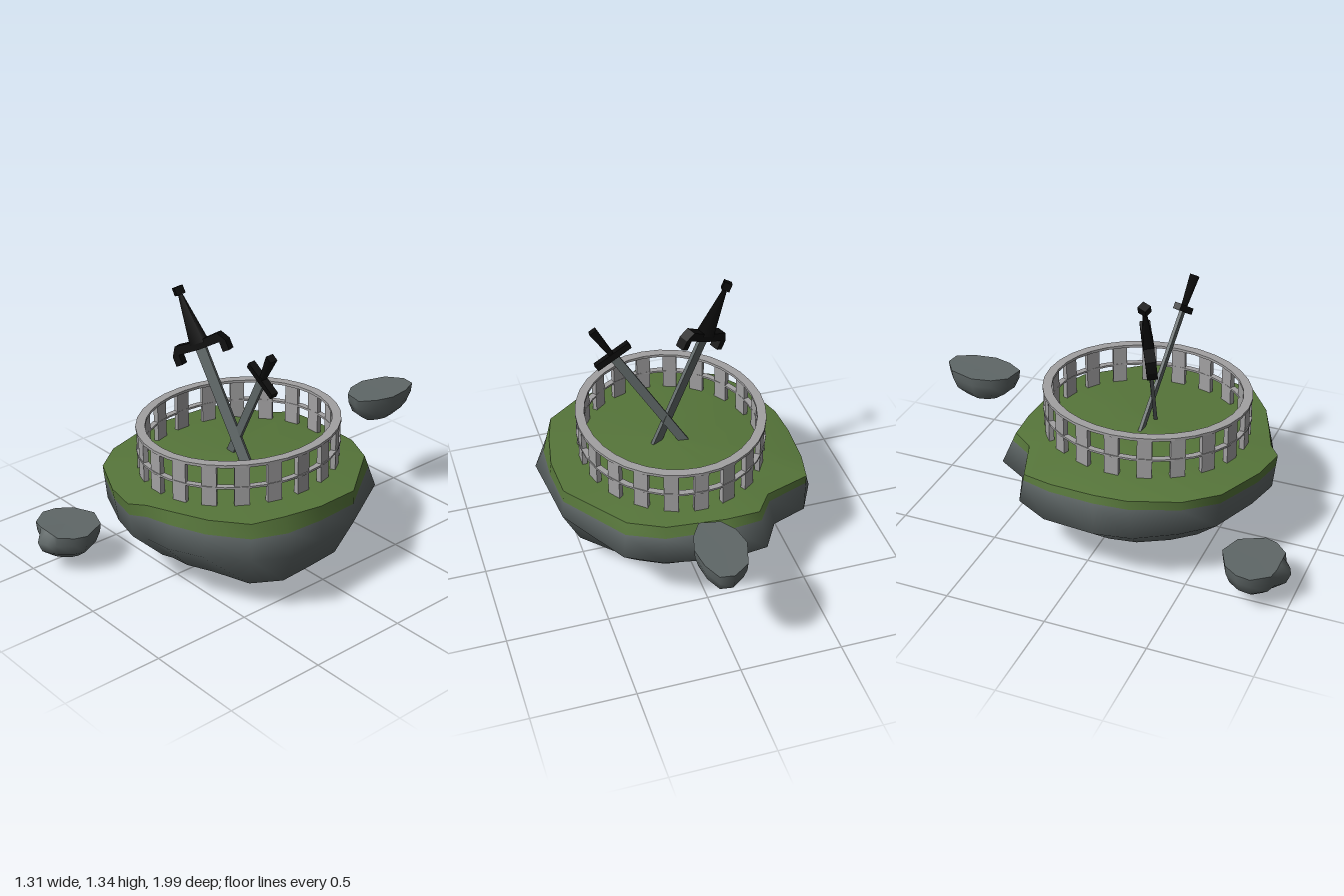
import * as THREE from 'three';

const mat = (name, color) => new THREE.MeshStandardMaterial({ name, color });
const V = (x, y, z) => new THREE.Vector3(x, y, z);

// Skin a stack of equal-length closed rings, listed from top to bottom
function loft(rings) {
  const n = rings[0].length, pos = [], index = [];
  rings.forEach(r => r.forEach(p => pos.push(p.x, p.y, p.z)));
  for (let k = 0; k < rings.length - 1; k++) {
    for (let i = 0; i < n; i++) {
      const j = (i + 1) % n, a = k * n + i, b = k * n + j;
      index.push(a, b, a + n, b, b + n, a + n);
    }
  }
  const g = new THREE.BufferGeometry();
  g.setAttribute('position', new THREE.Float32BufferAttribute(pos, 3));
  g.setIndex(index);
  g.computeVertexNormals();
  return g;
}

function add(parent, name, geo, material) {
  const m = new THREE.Mesh(geo, material);
  m.name = name;
  parent.add(m);
  return m;
}

// Rim outline: top x, z and widest x, z
const RIM = [
  [-.26, -.48, -.28, -.55], [-.09, -.49, -.09, -.58], [.2, -.47, .23, -.53], [.37, -.39, .4, -.44],
  [.6, -.09, .61, -.08], [.61, .13, .63, .14], [.575, .32, .65, .34], [.53, .48, .55, .5],
  [.37, .6, .37, .64], [.2, .67, .2, .71], [.07, .72, .07, .72], [0, .775, 0, .755],
  [-.17, .74, -.17, .71], [-.4, .63, -.4, .61], [-.52, .48, -.52, .47], [-.6, .24, -.63, .28],
  [-.61, .08, -.66, .1], [-.6, -.14, -.64, -.16], [-.57, -.29, -.55, -.33], [-.34, -.37, -.37, -.4],
];
const ROCK_A = [[-.56, .71], [-.45, .66], [-.34, .7], [-.28, .82], [-.3, .88], [-.36, .95],
  [-.4, .98], [-.45, 1], [-.5, .95], [-.56, .93], [-.62, .85], [-.61, .78]];
const ROCK_B = [[.04, -1], [.11, -.99], [.15, -.9], [.165, -.79], [.14, -.7], [.09, -.62],
  [.05, -.63], [-.01, -.64], [-.06, -.71], [-.08, -.81], [-.04, -.94]];

function island(grass, rock) {
  const g = new THREE.Group();
  g.name = 'island';
  const top = RIM.map(([x, z]) => V(x, .483 + .025 * x + .01 * z, z));
  const wide = RIM.map(([, , x, z]) => V(x, .31 + .03 * x, z));
  const line = top.map((p, i) => {
    const q = p.clone().lerp(wide[i], (p.y - .43) / (p.y - wide[i].y));
    return q;
  });
  const base = wide.map(p => {
    const a = Math.atan2(p.z - .1, p.x);
    return V(.01 + .265 * Math.cos(a), .01, .11 + .265 * Math.sin(a));
  });
  // bulge on the left flank
  const mid = base.map((p, i) => {
    const q = p.clone().lerp(wide[i], wide[i].x > .5 ? .75 : .56);
    q.y = .145;
    return q;
  });
  const inner = top.map(p => V(p.x * .65, .508, .1 + (p.z - .1) * .65));
  add(g, 'grassTop', loft([top.map(() => V(0, .52, .12)), inner, top]), grass);
  const sides = loft([top, line, wide, mid, base]);
  const layer = top.length * 6;
  sides.addGroup(0, layer, 0);
  sides.addGroup(layer, layer * 3, 1);
  add(g, 'islandSides', sides, [grass, rock]);
  add(g, 'islandBase', loft([base, base.map(() => V(.01, 0, .11))]), rock);
  return g;
}

// Floating boulder: flat top over a rounded bowl
function boulder(name, outline, cx, cz, y, maxZ, rock) {
  const g = new THREE.Group();
  g.name = name;
  const ring = (s, h, limit = 9) => outline.map(([x, z]) =>
    V(cx + (x - cx) * s, y + h, cz + (Math.min(z, limit) - cz) * s));
  const top = ring(1, .16, maxZ);
  add(g, name + 'Top', loft([ring(0, .158), top]), rock);
  add(g, name + 'Bowl', loft([top, ring(.97, .115), ring(.84, .06), ring(.5, .015), ring(0, 0)]), rock);
  return g;
}

// Oval fence of upright slats joined by two rails
function fence(material) {
  const g = new THREE.Group();
  g.name = 'fence';
  const cx = .005, cz = .105, rx = .465, rz = .515;
  const rail = (name, w, h, y) => {
    const s = new THREE.Shape().absellipse(0, 0, rx, rz, 0, Math.PI * 2);
    s.holes.push(new THREE.Path().absellipse(0, 0, rx - w, rz - w, 0, Math.PI * 2));
    const geo = new THREE.ExtrudeGeometry(s, { depth: h, bevelEnabled: false, curveSegments: 16 });
    geo.rotateX(-Math.PI / 2).translate(cx, y, cz);
    add(g, name, geo, material);
  };
  rail('topRail', .045, .014, .702);
  rail('middleRail', .03, .01, .593);
  for (let i = 0; i < 20; i++) {
    const a = i * Math.PI / 10, s = Math.sin(a), c = Math.cos(a);
    const slat = add(g, 'slat', new THREE.BoxGeometry(.07, .22, .025), material);
    slat.position.set(cx + (rx - .018) * s, .596, cz + (rz - .018) * c);
    slat.rotation.y = Math.atan2(s / rx, c / rz);
  }
  return g;
}

// Group whose origin is the blade tip, y runs to the pommel, x along the guard
function swordFrame(name, tip, end, across) {
  const g = new THREE.Group();
  g.name = name;
  const up = end.clone().sub(tip).normalize();
  const x = across.clone().addScaledVector(up, -across.dot(up)).normalize();
  g.quaternion.setFromRotationMatrix(new THREE.Matrix4().makeBasis(x, up, x.clone().cross(up)));
  g.position.copy(tip);
  return g;
}

const box = (w, h, d, x, y) => new THREE.BoxGeometry(w, h, d).translate(x, y, 0);

function largeSword(steel, dark) {
  const g = swordFrame('largeSword', V(.08, .5, .12), V(-.31, 1.31, .21), V(.2, .11, -.11));
  add(g, 'blade', box(.055, .63, .018, 0, .315), steel);
  // guard with hooked ends pointing down the blade
  const s = new THREE.Shape([[-.15, .56], [-.115, .56], [-.115, .61], [0, .605], [.115, .61],
    [.115, .56], [.15, .56], [.15, .61], [.12, .655], [0, .645], [-.12, .655], [-.15, .61]]
    .map(p => new THREE.Vector2(...p)));
  const geo = new THREE.ExtrudeGeometry(s, { depth: .05, bevelEnabled: false });
  add(g, 'guard', geo.translate(0, 0, -.025), dark);
  const grip = new THREE.CylinderGeometry(.012, .055, .25, 4).rotateY(Math.PI / 4).scale(1, 1, .7);
  add(g, 'grip', grip.translate(0, .76, 0).toNonIndexed(), dark);
  const pommel = add(g, 'pommel', new THREE.BoxGeometry(.045, .04, .04), dark);
  pommel.position.y = .9;
  pommel.rotation.y = Math.PI / 4;
  return g;
}

function smallSword(steel, dark) {
  const g = swordFrame('smallSword', V(-.07, .5, .1), V(.355, 1.175, .21), V(.155, -.12, 0));
  add(g, 'blade', box(.045, .64, .016, 0, .32), steel);
  add(g, 'guard', box(.195, .032, .035, 0, .638), dark);
  const grip = new THREE.CylinderGeometry(.027, .016, .165, 4).rotateY(Math.PI / 4);
  add(g, 'grip', grip.translate(0, .725, 0), dark);
  return g;
}

export function createModel() {
  const grass = mat('grass', 0x56753a);
  const rock = mat('rock', 0x5f6767);
  const stone = mat('fenceStone', 0xa2a1a2);
  const steel = mat('steel', 0x626a6a);
  const dark = mat('darkHilt', 0x0b0b0b);
  const model = new THREE.Group();
  model.name = 'floatingArena';
  model.add(
    island(grass, rock),
    boulder('frontBoulder', ROCK_A, -.45, .83, .05, .94, rock),
    boulder('backBoulder', ROCK_B, .04, -.81, .45, 9, rock),
    fence(stone),
    largeSword(steel, dark),
    smallSword(steel, dark),
  );
  return model;
}
